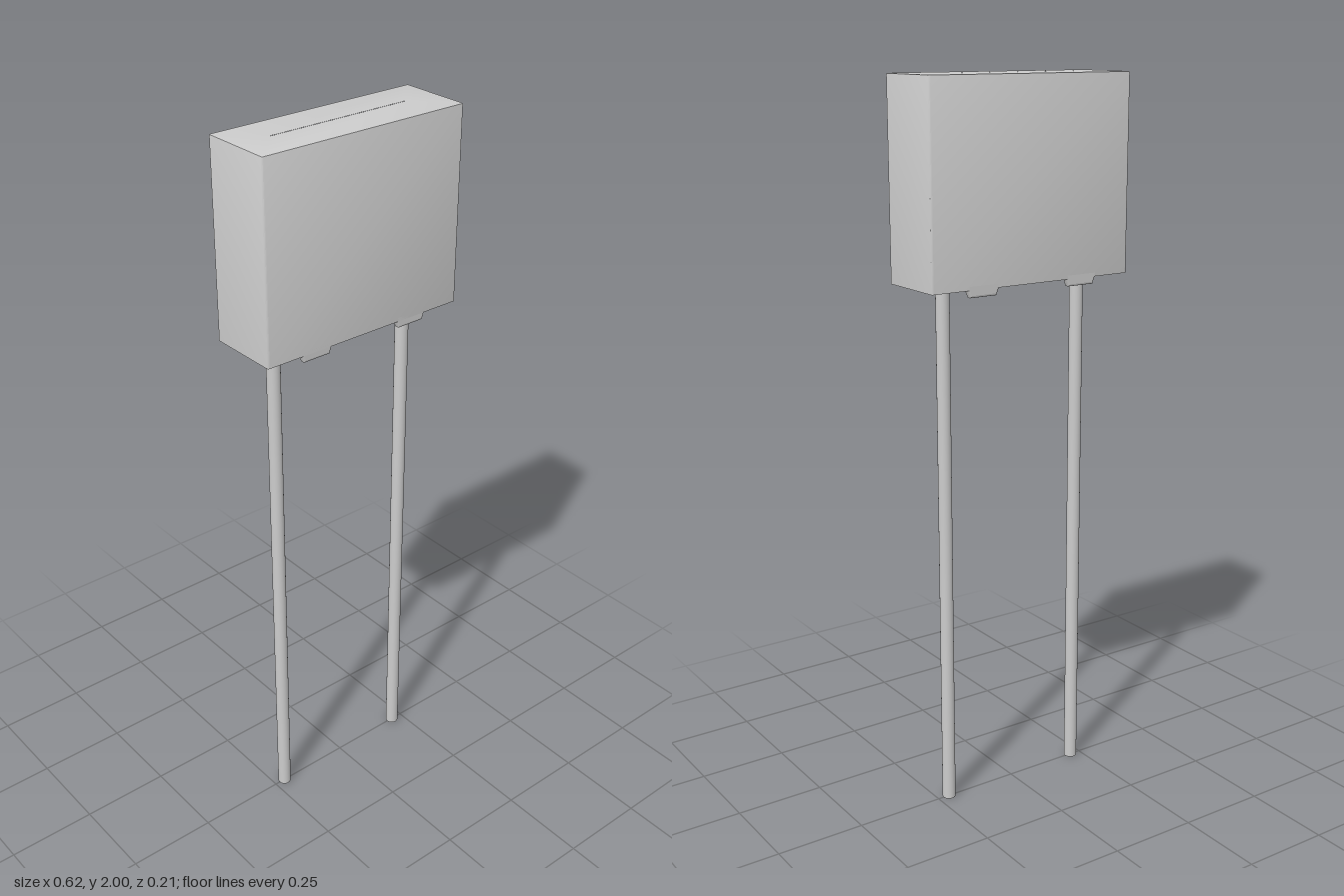
import * as THREE from 'three';
import { toCreasedNormals } from 'three/addons/utils/BufferGeometryUtils.js';

const W = 0.309, D = 0.103, R = 0.005; // half width, half depth and corner radius of the case
const BASE = 1.47, TOP = 2;

// Rounded rectangle around the case, moved inwards by inset
function ring(inset, y) {
  const r = Math.max(R - inset, 0.0005);
  const cx = W - inset - r, cz = Math.max(D - inset - r, 0);
  const points = [];
  [[1, 1], [-1, 1], [-1, -1], [1, -1]].forEach(([sx, sz], corner) => {
    for (let k = 0; k <= 3; k++) {
      const a = (corner + k / 3) * Math.PI / 2;
      points.push([sx * cx + r * Math.cos(a), y, -sz * cz - r * Math.sin(a)]);
    }
  });
  return points;
}

// Joins successive rings into one skin
function loft(rings) {
  const n = rings[0].length, index = [];
  for (let i = 0; i < rings.length - 1; i++) {
    for (let j = 0; j < n; j++) {
      const a = i * n + j, b = i * n + (j + 1) % n;
      index.push(a, a + n, b, b, a + n, b + n);
    }
  }
  const geometry = new THREE.BufferGeometry();
  geometry.setAttribute('position', new THREE.Float32BufferAttribute(rings.flat(2), 3));
  geometry.setIndex(index);
  return toCreasedNormals(geometry, 0.6);
}

export function createModel() {
  const group = new THREE.Group();
  const material = new THREE.MeshStandardMaterial({ color: 0xcccccc });
  const add = (name, geometry, x = 0, y = 0, z = 0) => {
    const mesh = new THREE.Mesh(geometry, material);
    mesh.name = name;
    mesh.position.set(x, y, z);
    group.add(mesh);
  };

  // Case: top, walls, rim and the hollow filling underneath
  const rim = 0.02;
  const rings = [
    ring(D - 0.0005, TOP), ring(0.004, TOP), ring(0.001, TOP - 0.001), ring(0, TOP - 0.004),
    ring(0, BASE), ring(rim, BASE), ring(rim, BASE + 0.01),
  ];
  for (let k = 1; k <= 8; k++) {
    const t = k / 8;
    rings.push(ring(rim + t * (D - rim - 0.0005), BASE + 0.01 + 0.03 * Math.sin(t * Math.PI / 2)));
  }
  add('case', loft(rings));

  // Standoff feet: tapered bars with rounded edges on the long rims
  const bevel = 0.006;
  const profile = new THREE.Shape([
    [-0.046, 0.012], [-0.036, -0.012], [0.036, -0.012], [0.046, 0.012],
  ].map(([x, y]) => new THREE.Vector2(x, y)));
  const foot = new THREE.ExtrudeGeometry(profile, {
    depth: 0.008, bevelEnabled: true, bevelThickness: bevel, bevelSize: bevel, bevelSegments: 3,
  });
  foot.translate(0, 0, -0.004);
  for (const x of [-0.156, 0.154]) {
    for (const z of [-0.093, 0.093]) add('standoffFoot', foot, x, BASE - 0.002, z);
  }

  // Wire leads running up into the filling
  const length = BASE + 0.05;
  const lead = new THREE.CylinderGeometry(0.0185, 0.0185, length, 32);
  for (const x of [-0.217, 0.215]) add('lead', lead, x, length / 2, 0);

  return group;
}
